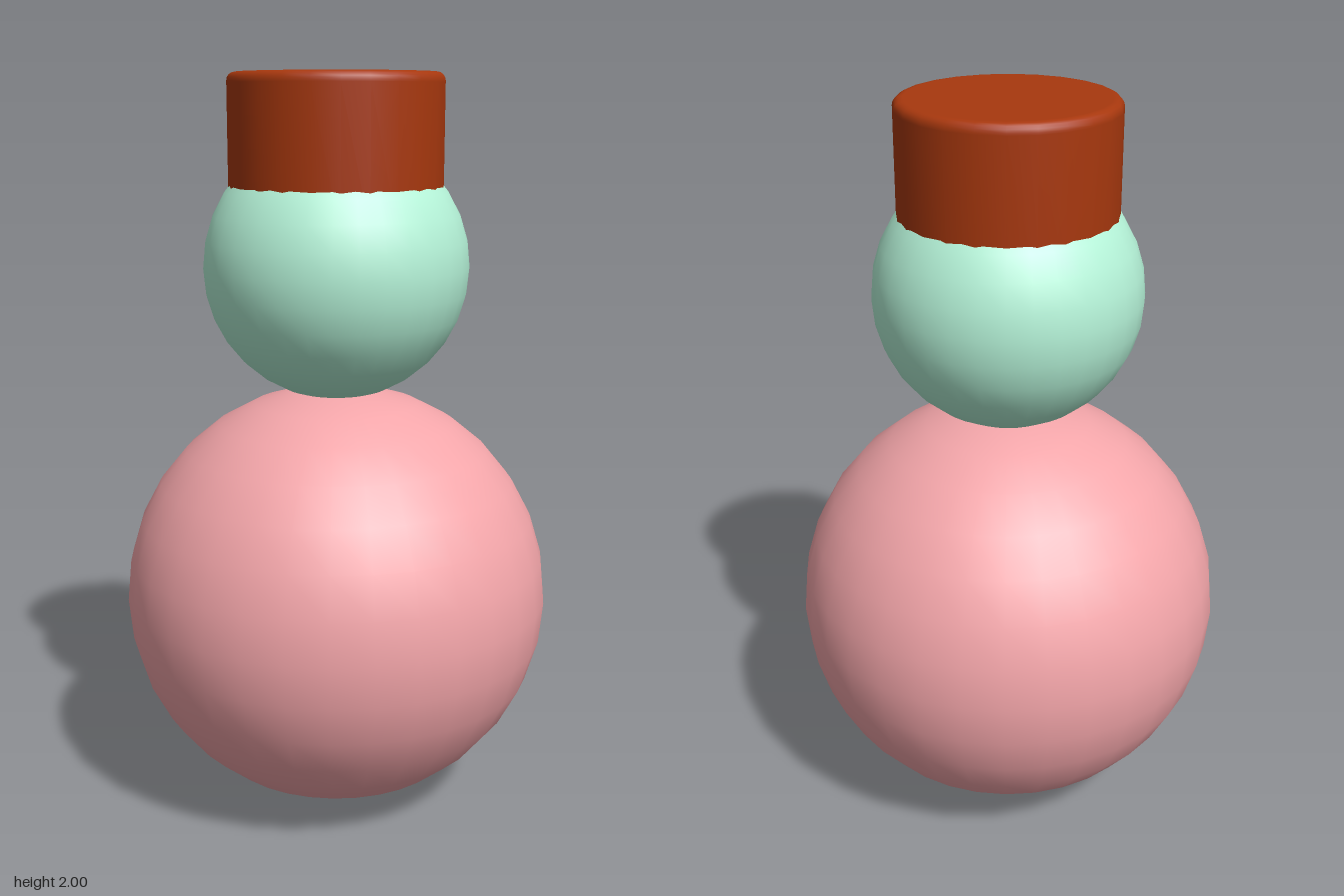
import * as THREE from 'three';

export function createModel() {
  const group = new THREE.Group();

  const add = (name, geometry, color, y = 0) => {
    const mesh = new THREE.Mesh(geometry, new THREE.MeshStandardMaterial({ color }));
    mesh.name = name;
    mesh.position.y = y;
    group.add(mesh);
  };

  // Two stacked balls
  add('body', new THREE.SphereGeometry(0.583, 32, 16), 0xf4a6aa, 0.587);
  add('head', new THREE.SphereGeometry(0.356, 32, 16), 0xb5f3d8, 1.497);

  // Hat: a drum with a rounded rim, sunk into the head
  const radius = 0.285, top = 2, bevel = 0.022, base = 1.6;
  const profile = [[0, base], [radius - 0.01, base], [radius, base + 0.01], [radius, top - bevel - 0.005]];
  for (let i = 0; i <= 4; i++) {
    const a = (i / 4) * Math.PI / 2;
    profile.push([radius - bevel + bevel * Math.cos(a), top - bevel + bevel * Math.sin(a)]);
  }
  profile.push([radius - bevel - 0.005, top], [0, top]);
  add('hat', new THREE.LatheGeometry(profile.map(p => new THREE.Vector2(...p)), 24), 0xa8380e);

  return group;
}
